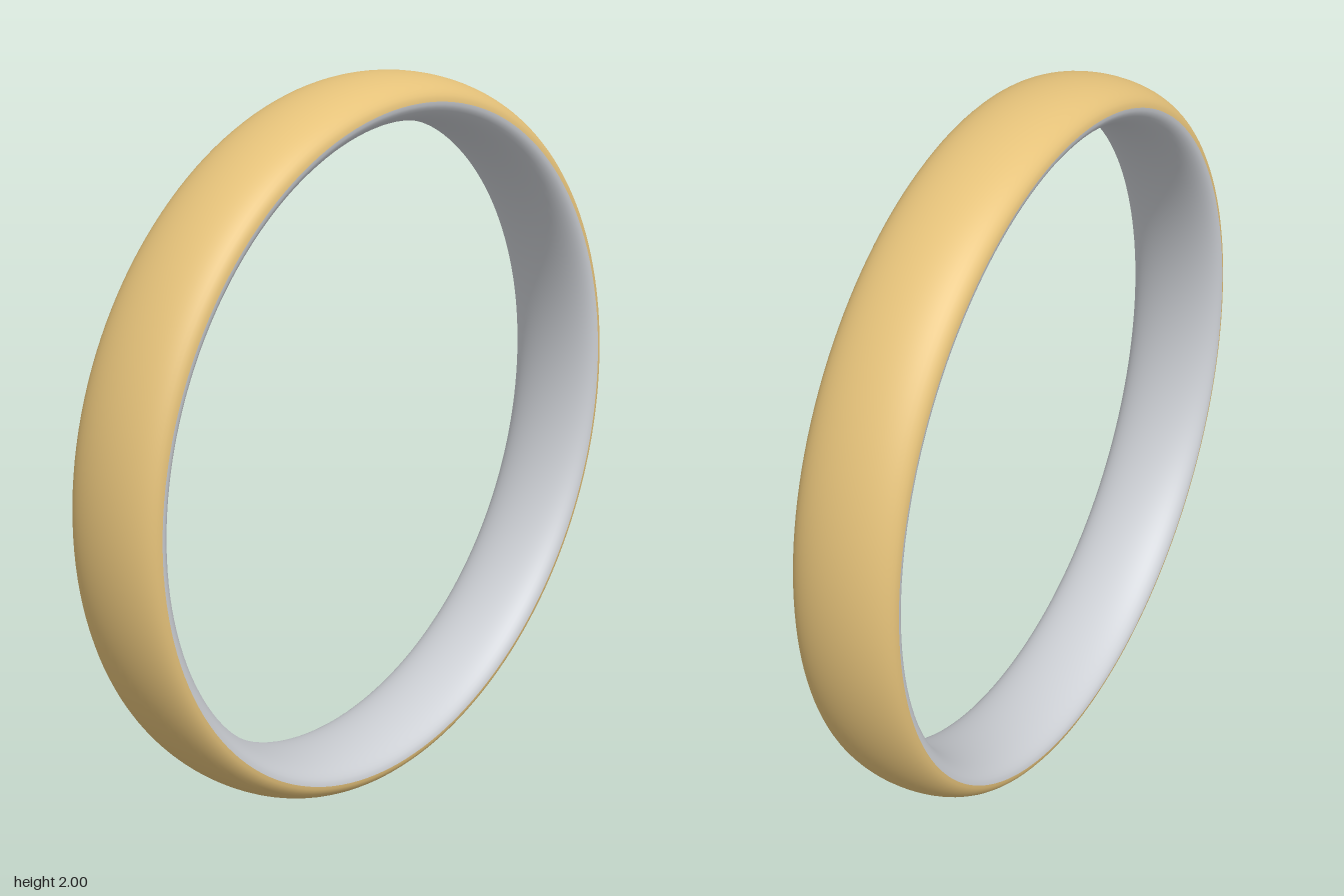
import * as THREE from 'three';

const EDGE_RADIUS = 0.935; // where the outer and inner surfaces meet
const HALF_WIDTH = 0.145;

// Half of the band's oval section, swept round the axis.
// bulge > 0 swells outward, bulge < 0 swells toward the finger.
function bandSurface(name, bulge, color) {
  const steps = 24;
  const dir = Math.sign(bulge);
  const profile = [];
  for (let i = 0; i <= steps; i++) {
    const t = dir * (i / steps - 0.5) * Math.PI;
    profile.push(new THREE.Vector2(EDGE_RADIUS + bulge * Math.cos(t), HALF_WIDTH * Math.sin(t)));
  }
  const geometry = new THREE.LatheGeometry(profile, 160);
  geometry.rotateX(Math.PI / 2); // axis faces the front
  const mesh = new THREE.Mesh(geometry, new THREE.MeshStandardMaterial({ color }));
  mesh.name = name;
  return mesh;
}

export function createModel() {
  const ring = new THREE.Group();
  ring.name = 'ring';
  ring.add(bandSurface('outerBand', 0.065, 0xe5c27a)); // gold domed outside
  ring.add(bandSurface('innerBand', -0.063, 0xcdd0d5)); // silver rounded inside
  ring.position.y = 1;

  const model = new THREE.Group();
  model.add(ring);
  return model;
}
